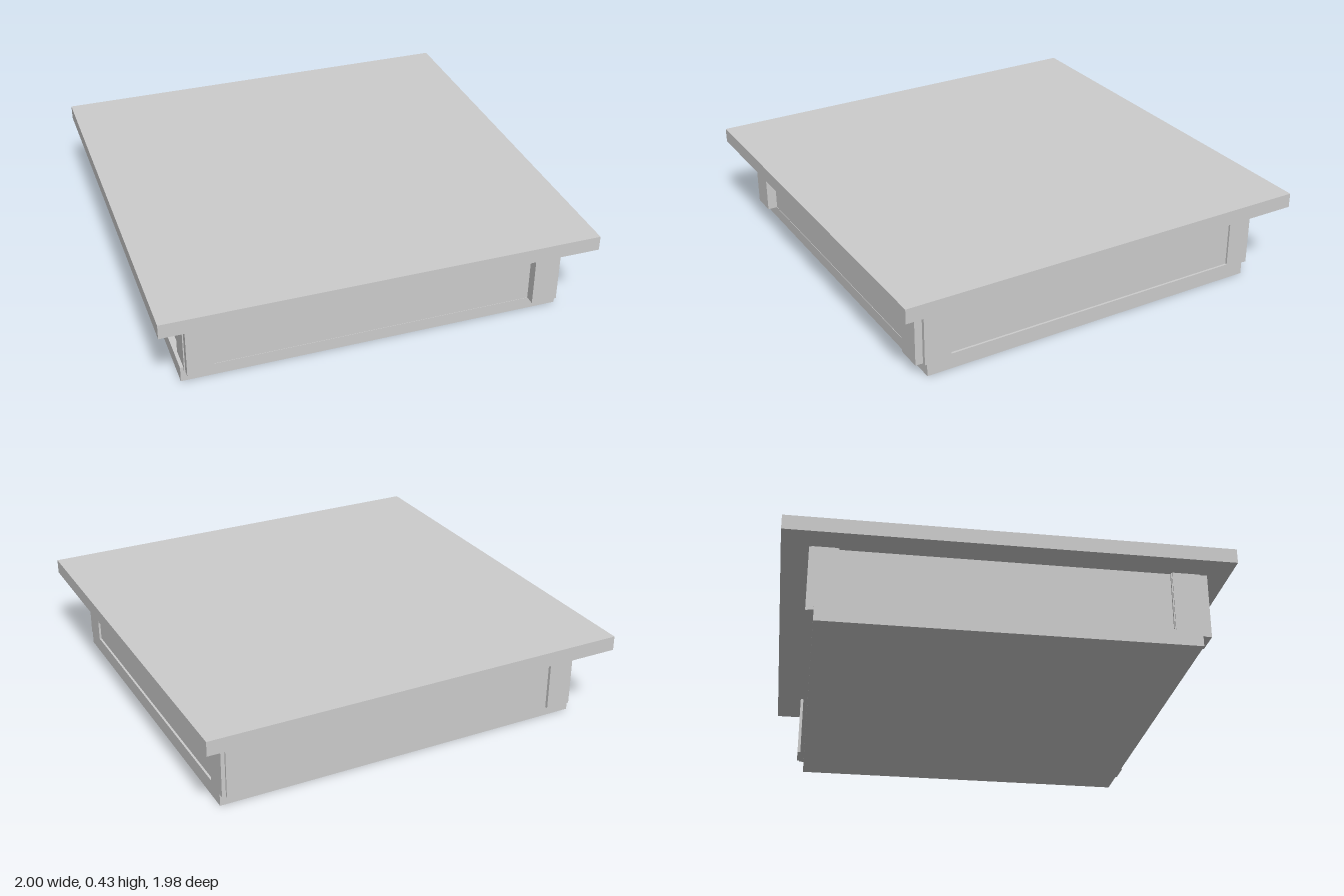
import * as THREE from 'three';

const material = new THREE.MeshStandardMaterial({ color: 0xcccccc, flatShading: true });

// Box given by its extents along each axis
function block(group, name, [x0, x1], [y0, y1], [z0, z1]) {
  const mesh = new THREE.Mesh(new THREE.BoxGeometry(x1 - x0, y1 - y0, z1 - z0), material);
  mesh.position.set((x0 + x1) / 2, (y0 + y1) / 2, (z0 + z1) / 2);
  mesh.name = name;
  group.add(mesh);
}

export function createModel() {
  const group = new THREE.Group();
  group.name = 'lowTable';
  const under = 0.362;

  // Overhanging top and base board
  block(group, 'tableTop', [-1, 1], [under, 0.43], [-0.99, 0.985]);
  block(group, 'baseBoard', [-0.89, 0.89], [0, 0.057], [-0.835, 0.84]);

  // Panels closing the four sides
  block(group, 'sidePanels', [-0.86, 0.88], [0.057, under], [-0.78, 0.78]);
  block(group, 'frontPanel', [-0.8, 0.8], [0.057, under], [0.74, 0.838]);
  block(group, 'backPanel', [-0.8, 0.8], [0.057, under], [-0.855, -0.74]);

  // Raised lower rails on the two sides
  block(group, 'leftRail', [0.85, 0.89], [0.057, 0.073], [-0.835, 0.84]);
  block(group, 'rightRail', [-0.89, -0.85], [0.057, 0.073], [-0.835, 0.84]);

  // Corner posts: an outer front/back strip lapped by a side strip
  const ends = [
    { label: 'front', outer: [0.72, 0.885], side: [0.725, 0.85] },
    { label: 'back', outer: [-0.87, -0.74], side: [-0.86, -0.745] },
  ];
  for (const { label, outer, side } of ends) {
    block(group, label + 'LeftPost', [0.75, 0.872], [0.057, under], outer);
    block(group, label + 'LeftPostStrip', [0.8, 0.89], [0.057, under], side);
    block(group, label + 'RightPost', [-0.87, -0.75], [0.057, under], outer);
    block(group, label + 'RightPostStrip', [-0.875, -0.8], [0.057, under], side);
  }
  return group;
}
